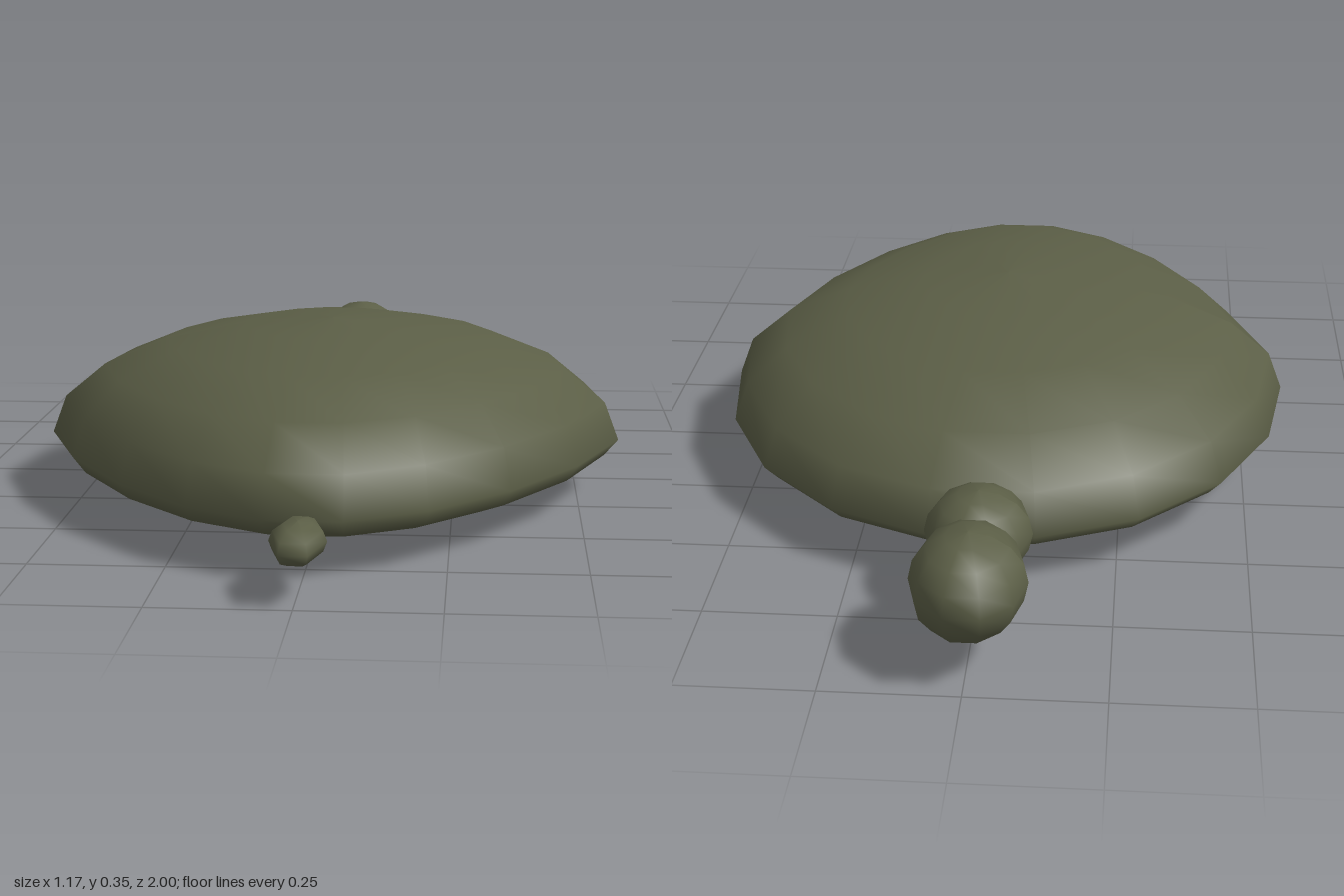
import * as THREE from 'three';

const olive = new THREE.MeshStandardMaterial({ color: 0x5b5e46 });
olive.name = 'olive';

// Ellipsoid blob, optionally reshaped by a rule on its unit-sphere vertices
function blob(name, [wide, high], [x, y, z], [rx, ry, rz], shape) {
  const geo = new THREE.SphereGeometry(1, wide, high);
  const pos = geo.attributes.position;
  const v = new THREE.Vector3();
  for (let i = 0; i < pos.count; i++) {
    v.fromBufferAttribute(pos, i);
    if (shape) shape(v);
    pos.setXYZ(i, v.x * rx, v.y * ry, v.z * rz);
  }
  geo.computeVertexNormals();
  const mesh = new THREE.Mesh(geo, olive);
  mesh.name = name;
  mesh.position.set(x, y, z);
  return mesh;
}

export function createModel() {
  const model = new THREE.Group();
  model.name = 'turtle';

  // Domed shell: tapered toward +z, with a shallow belly
  model.add(blob('shell', [18, 10], [0, 0.105, 0.1], [0.585, 0.247, 0.73], (v) => {
    if (v.z > 0) v.x *= 1 - 0.3 * v.z;
    if (v.y < 0) v.y *= 0.105 / 0.247;
  }));

  // Neck, head and tail
  model.add(blob('neck', [10, 8], [0, 0.135, -0.66], [0.1, 0.085, 0.12]));
  model.add(blob('head', [10, 8], [0, 0.15, -0.865], [0.105, 0.095, 0.142]));
  model.add(blob('tail', [6, 6], [0, 0.092, 0.9], [0.05, 0.035, 0.115]));

  return model;
}
